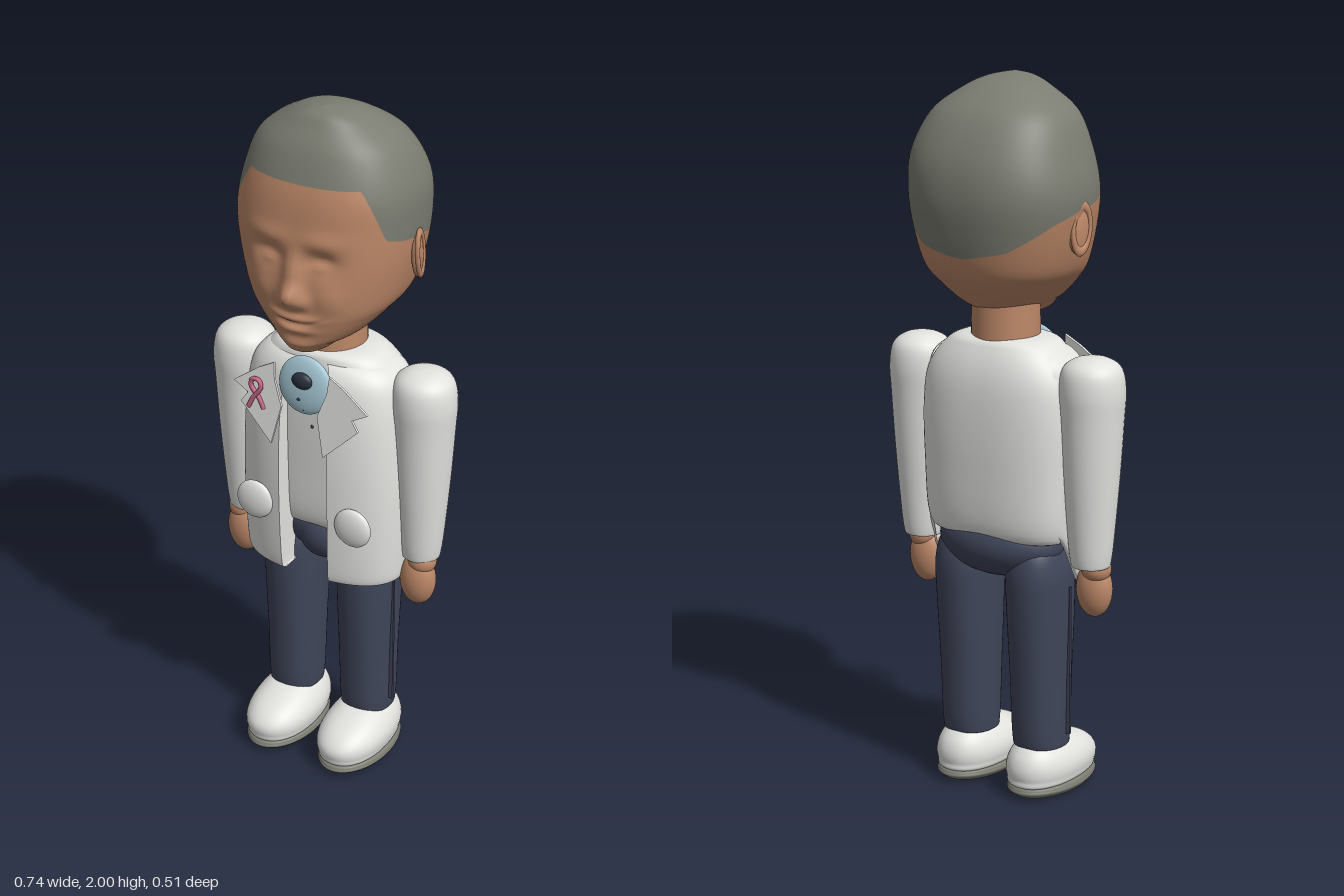
import * as THREE from 'three';

const mat = (name, color, side = THREE.FrontSide) => {
  const m = new THREE.MeshStandardMaterial({ color, side });
  m.name = name;
  return m;
};

// Grid surface from fn(u, v) -> [x, y, z]; u runs anticlockwise seen from above, v upwards
function grid(nu, nv, fn, closed = true) {
  const pos = [], idx = [], cols = closed ? nu : nu + 1;
  for (let j = 0; j <= nv; j++)
    for (let i = 0; i < cols; i++) pos.push(...fn(i / nu, j / nv));
  for (let j = 0; j < nv; j++)
    for (let i = 0; i < nu; i++) {
      const a = j * cols + i, b = j * cols + (i + 1) % cols;
      idx.push(a, b, b + cols, a, b + cols, a + cols);
    }
  const g = new THREE.BufferGeometry();
  g.setAttribute('position', new THREE.Float32BufferAttribute(pos, 3));
  g.setIndex(idx);
  g.computeVertexNormals();
  return g;
}

// Smooth interpolation through rows of [y, centre x, half width, front z, back z]
function profile(rows) {
  const c = new THREE.CubicInterpolant(rows.map((_, i) => i), rows.flat(), 5, new Float32Array(5));
  const at = t => Array.from(c.evaluate(Math.min(t, rows.length - 1 - 1e-6)));
  at.last = rows.length - 1;
  return at;
}

// Point on a rounded cross-section; angle 0 faces the front, PI/2 faces +x
function ring([y, xc, hx, zf, zb], a, k = 0.83) {
  const s = Math.sin(a), c = Math.cos(a);
  return [
    xc + Math.max(0, hx) * Math.sign(s) * Math.abs(s) ** k, y,
    (zf + zb) / 2 + (zf - zb) / 2 * Math.sign(c) * Math.abs(c) ** k,
  ];
}
const loft = (rows, nu = 48, nv = 40, k = 0.9) => {
  const p = profile(rows);
  return grid(nu, nv, (u, v) => ring(p(v * p.last), u * Math.PI * 2, k));
};
const lathe = (pts, n = 40) => new THREE.LatheGeometry(
  new THREE.SplineCurve(pts.map(p => new THREE.Vector2(...p))).getPoints(40).map(p => p.setX(Math.max(0, p.x))), n);
const gauss = d => Math.exp(-d * d);

// Piecewise linear lookup in [[x, y], ...]
function lookup(table, x) {
  let i = 1;
  while (i < table.length - 1 && x > table[i][0]) i++;
  const [a, b] = [table[i - 1], table[i]];
  return THREE.MathUtils.mapLinear(THREE.MathUtils.clamp(x, a[0], b[0]), a[0], b[0], a[1], b[1]);
}

const HEAD = profile([
  [1.345, 0.01, 0, 0.07, 0.07], [1.348, 0.01, 0.05, 0.17, -0.03],
  [1.375, 0.012, 0.085, 0.195, -0.1], [1.4, 0.015, 0.125, 0.2, -0.135],
  [1.45, 0.012, 0.175, 0.208, -0.185], [1.5, 0.01, 0.21, 0.208, -0.22],
  [1.6, 0.007, 0.238, 0.208, -0.245], [1.7, 0.005, 0.25, 0.203, -0.255],
  [1.8, 0.012, 0.238, 0.19, -0.237], [1.9, 0.01, 0.195, 0.155, -0.18],
  [1.96, 0.015, 0.118, 0.115, -0.1], [1.988, 0.02, 0.06, 0.09, -0.03],
  [2.0, 0.02, 0, 0.05, 0.05],
]);
const HAIRLINE = [[0, 1.83], [0.72, 1.83], [0.86, 1.77], [1.05, 1.69], [1.35, 1.67],
  [1.6, 1.66], [2.0, 1.63], [2.6, 1.56], [3.15, 1.535]];

// Head row parameter at the hairline for an angle
function hairRow(a) {
  const y = lookup(HAIRLINE, a > Math.PI ? 2 * Math.PI - a : a);
  let lo = 3, hi = 11;
  for (let i = 0; i < 24; i++) {
    const m = (lo + hi) / 2;
    if (HEAD(m)[0] < y) lo = m; else hi = m;
  }
  return lo;
}

// Relief of nose, eyes, brows, cheeks, lips and chin
function relief(x, y) {
  const d = x - 0.012, e = Math.abs(d);
  return 0.042 * gauss(d / 0.03) * gauss((y - 1.53) / 0.035)
    + 0.02 * gauss(d / 0.024) * gauss((y - 1.595) / 0.055)
    + 0.01 * gauss((e - 0.035) / 0.016) * gauss((y - 1.515) / 0.02)
    - 0.02 * gauss((e - 0.075) / 0.042) * gauss((y - 1.63) / 0.028)
    + 0.01 * gauss((e - 0.075) / 0.025) * gauss((y - 1.617) / 0.013)
    + 0.007 * gauss((e - 0.075) / 0.06) * gauss((y - 1.685) / 0.025)
    + 0.01 * gauss((e - 0.1) / 0.045) * gauss((y - 1.53) / 0.045)
    + 0.012 * gauss(d / 0.06) * gauss((y - 1.465) / 0.012)
    - 0.006 * gauss(d / 0.07) * gauss((y - 1.448 - 3 * d * d) / 0.007)
    + 0.012 * gauss(d / 0.05) * gauss((y - 1.43) / 0.012)
    + 0.008 * gauss(d / 0.05) * gauss((y - 1.385) / 0.02);
}
function headPoint(a, t) {
  const p = ring(HEAD(t), a);
  p[2] += relief(p[0], p[1]) * Math.max(0, Math.cos(a)) ** 0.5;
  return p;
}

const COAT = profile([
  [0, 0, 0.225, 0.12, -0.14], [0.05, 0, 0.24, 0.138, -0.15], [0.4, 0, 0.247, 0.147, -0.16],
  [0.7, 0, 0.24, 0.143, -0.16], [0.88, 0, 0.225, 0.125, -0.15], [0.96, 0, 0.19, 0.105, -0.13],
  [1, 0, 0.13, 0.08, -0.1],
]);

export function createModel() {
  const root = new THREE.Group();
  const white = mat('white cloth', 0xe2e3df), coat = mat('white coat panel', 0xe2e3df, THREE.DoubleSide);
  const skin = mat('skin', 0xbd8868), hair = mat('grey hair', 0x7b7d72), navy = mat('navy trousers', 0x40465a);
  const blue = mat('light blue collar', 0xa4c6d3), dark = mat('dark knot', 0x2a2f3d), pink = mat('pink ribbon', 0xc9688a);
  const add = (name, geo, m, x = 0, y = 0, z = 0, parent = root) => {
    const mesh = new THREE.Mesh(geo, m);
    mesh.name = name;
    mesh.position.set(x, y, z);
    parent.add(mesh);
    return mesh;
  };
  const ball = (name, m, x, y, z, sx, sy, sz) => {
    const b = add(name, new THREE.SphereGeometry(1, 32, 20), m, x, y, z);
    b.scale.set(sx, sy, sz);
    return b;
  };

  // Head, hair and neck
  const TAU = Math.PI * 2;
  add('face', grid(160, 90, (u, v) => headPoint(u * TAU, v * hairRow(u * TAU))), skin);
  add('hair', grid(160, 40, (u, v) => {
    const h = hairRow(u * TAU);
    return headPoint(u * TAU, h + v * (HEAD.last - h));
  }), hair);
  add('neck', new THREE.CylinderGeometry(0.093, 0.095, 0.14, 40), skin, 0, 1.345, -0.025);

  // Torso with shirt front and coat back
  add('torso', loft([
    [0.73, 0, 0, -0.04, -0.04], [0.74, 0, 0.18, 0.05, -0.12], [0.78, 0, 0.222, 0.085, -0.163],
    [0.95, 0, 0.232, 0.095, -0.175], [1.1, 0, 0.235, 0.1, -0.175], [1.2, 0, 0.222, 0.1, -0.165],
    [1.27, 0, 0.175, 0.09, -0.14], [1.3, 0, 0.12, 0.07, -0.11], [1.305, 0, 0, -0.02, -0.02],
  ], 64, 48, 0.8), white);
  ball('seat', navy, 0, 0.725, -0.045, 0.19, 0.1, 0.125);
  ball('crotch', navy, 0, 0.71, 0.0, 0.085, 0.09, 0.09);

  for (const s of [1, -1]) {
    const side = s > 0 ? 'left' : 'right';

    // Open coat front, wrapping round the flank with a hem rising to the back
    add(side + 'CoatPanel', grid(40, 40, (u, v) => {
      const w = Math.max(0, u - 0.05) / 0.95, a = 0.23 + w * 1.9;
      const row = COAT(v * COAT.last);
      const hem = 0.615 + 0.15 * THREE.MathUtils.smoothstep(a, 1.45, 2.1);
      row[0] = hem + row[0] * (1.285 - hem);
      const p = ring(row, a, 0.8);
      if (u < 0.02) p[2] = 0.05;
      return [p[0] * s, p[1], p[2]];
    }, false), coat);
    ball(side + 'PocketPatch', white, s * 0.154, 0.825, 0.14, 0.056, 0.058, 0.02);

    // Notched lapel
    const outline = [[0.085, 0.1], [0.13, 0.075], [0.205, 0.02], [0.16, -0.005], [0.18, -0.035],
      [0.08, -0.135], [0.055, -0.02], [0.08, 0.05]];
    const lapel = add(side + 'Lapel', new THREE.ExtrudeGeometry(
      new THREE.Shape(outline.map(([x, y]) => new THREE.Vector2(x * s, y))),
      { depth: 0.008, bevelEnabled: false }), white, 0, 1.175, 0.15);
    lapel.rotation.x = -0.12;

    // Sleeve and hand
    add(side + 'Sleeve', lathe([[0, 0.685], [0.045, 0.688], [0.056, 0.705], [0.066, 0.8], [0.078, 0.95],
      [0.087, 1.1], [0.091, 1.18], [0.08, 1.238], [0.045, 1.265], [0, 1.272]]), white, s * 0.278, 0, -0.028);
    ball(side + 'Hand', skin, s * 0.279, 0.62, -0.01, 0.053, 0.08, 0.042);
    ball(side + 'Wrist', skin, s * 0.288, 0.68, -0.015, 0.042, 0.04, 0.04);

    // Trouser leg with side seam
    add(side + 'Leg', loft([
      [0.145, 0.118, 0, -0.025, -0.025], [0.148, 0.118, 0.065, 0.04, -0.09], [0.165, 0.118, 0.075, 0.058, -0.108],
      [0.35, 0.117, 0.079, 0.067, -0.12], [0.55, 0.117, 0.084, 0.078, -0.136], [0.66, 0.117, 0.083, 0.075, -0.14],
      [0.73, 0.115, 0.06, 0.04, -0.115], [0.755, 0.112, 0, -0.04, -0.04],
    ].map(r => [r[0], r[1] * s, ...r.slice(2)])), navy);
    add(side + 'Seam', new THREE.BoxGeometry(0.012, 0.43, 0.008), navy, s * 0.199, 0.395, -0.012);

    // Shoe and sole
    add(side + 'Shoe', loft([
      [0.03, 0, 0, 0.03, 0.03], [0.035, 0, 0.08, 0.17, -0.12], [0.06, 0, 0.096, 0.192, -0.137],
      [0.095, 0, 0.097, 0.188, -0.138], [0.13, 0, 0.08, 0.145, -0.122], [0.158, 0, 0.048, 0.06, -0.085],
      [0.166, 0, 0, -0.015, -0.015],
    ]), white, s * 0.118);
    add(side + 'Sole', lathe([[0, 0], [0.075, 0.003], [0.097, 0.018], [0.1, 0.03], [0.085, 0.042], [0, 0.045]], 48),
      hair, s * 0.119, 0, 0.027).scale.z = 1.68;

    // Ear: flat shell with a raised rim
    const ear = new THREE.Group();
    ear.name = side + 'Ear';
    ear.position.set(s > 0 ? 0.25 : -0.232, 1.605, -0.025);
    ear.rotation.set(0.12, s * 0.25, 0);
    add('earShell', new THREE.SphereGeometry(1, 24, 16), skin, 0, 0, 0, ear).scale.set(0.014, 0.066, 0.036);
    const rim = add('earRim', new THREE.TorusGeometry(0.03, 0.007, 10, 32), skin, s * 0.008, 0.005, 0, ear);
    rim.rotation.y = Math.PI / 2;
    rim.scale.y = 2;
    root.add(ear);
  }

  // Collar, knot and shirt buttons
  ball('collar', blue, 0, 1.22, 0.125, 0.08, 0.083, 0.022).rotation.x = -0.12;
  ball('knot', dark, 0, 1.24, 0.142, 0.031, 0.024, 0.016);
  [[1.185, 0.148], [1.155, 0.142], [1.12, 0.1], [1.08, 0.099]].forEach(([y, z], i) =>
    ball('button' + (i + 1), dark, i % 2 ? 0.005 : -0.008, y, z, 0.005, 0.005, 0.004));

  // Looped ribbon on the lapel
  const loop = [[0.022, -0.045], [0.008, -0.015], [-0.016, 0.02], [-0.01, 0.04], [0.01, 0.04], [0.016, 0.02],
    [-0.008, -0.015], [-0.022, -0.045]];
  const ribbon = new THREE.CatmullRomCurve3(loop.map(([x, y], i) => new THREE.Vector3(x, y, i * 0.001)));
  add('ribbon', new THREE.TubeGeometry(ribbon, 60, 0.0065, 8), pink, -0.13, 1.18, 0.162);

  return root;
}
